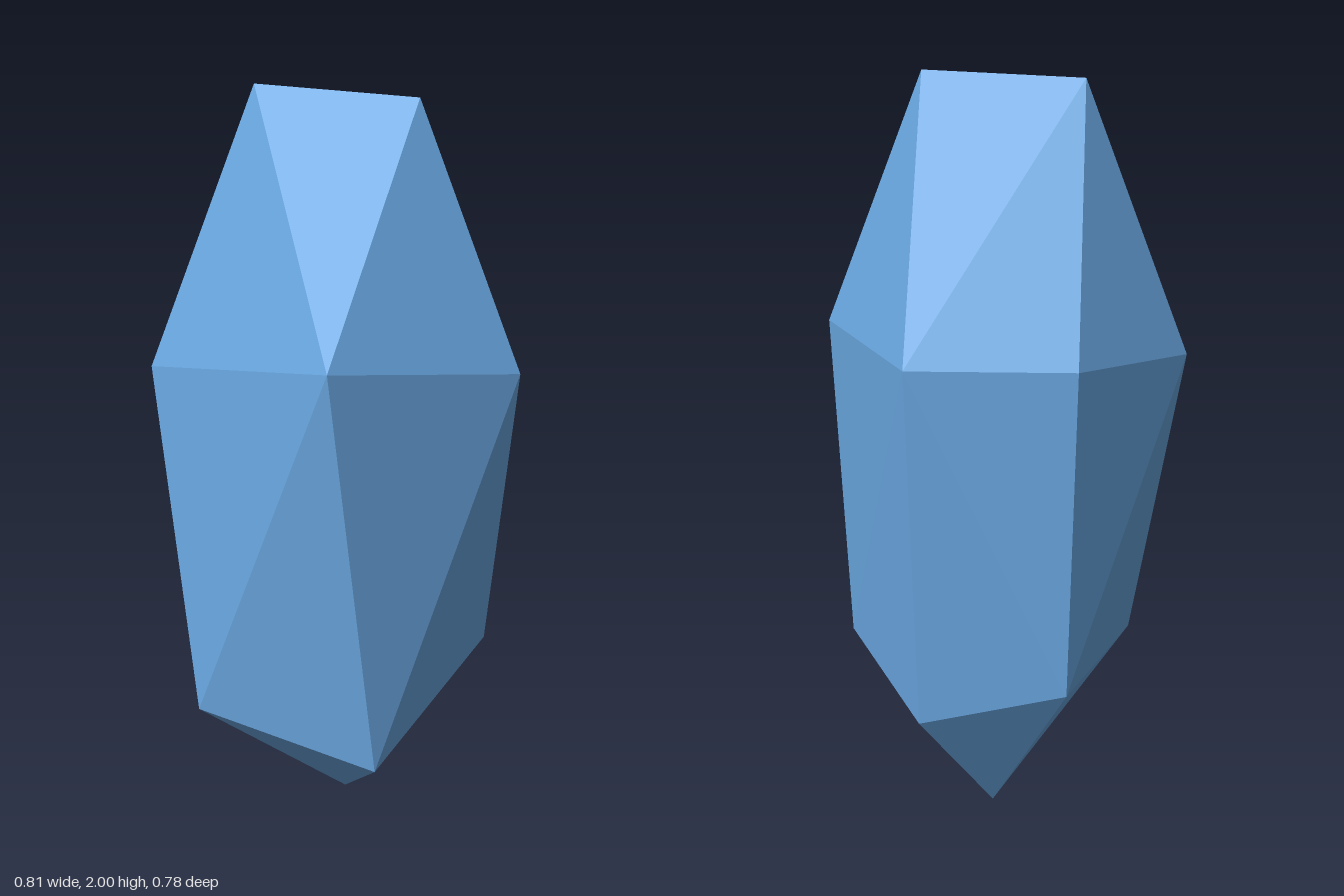
import * as THREE from 'three';

// Corners of the crystal, each ring running counterclockwise seen from above
const upper = [[-0.34, 1.51, 0.33], [0.23, 1.36, 0.39], [0.405, 1.39, -0.11], [0.123, 1.39, -0.393], [-0.33, 1.315, -0.33]];
const lower = [[-0.18, 0.35, 0.33], [0.28, 0.53, 0.275], [0.33, 0.4, -0.05], [0.104, 0.52, -0.355], [-0.408, 0.43, -0.1]];
const ridgeFront = [0.105, 2, 0.155];
const ridgeBack = [-0.087, 2, -0.197];
const foot = [0.025, 0, 0];

function facetMesh(name, triangles, material) {
  const geometry = new THREE.BufferGeometry();
  geometry.setAttribute('position', new THREE.Float32BufferAttribute(triangles.flat(2), 3));
  geometry.computeVertexNormals();
  const mesh = new THREE.Mesh(geometry, material);
  mesh.name = name;
  return mesh;
}

export function createModel() {
  const crystalBlue = new THREE.MeshStandardMaterial({ color: 0x6aa8e2 });
  crystalBlue.name = 'crystalBlue';

  const [A, B, C, D, E] = upper;
  const [a, b, c, d, e] = lower;

  // Cap: facets rising to the short ridge
  const cap = [
    [A, B, ridgeFront], [B, C, ridgeFront], [C, ridgeBack, ridgeFront],
    [C, D, ridgeBack], [D, E, ridgeBack], [E, A, ridgeBack], [A, ridgeFront, ridgeBack],
  ];

  // Shaft: long facets between the two rings
  const shaft = [
    [A, a, B], [B, a, b], [B, b, C], [C, b, c], [C, c, d],
    [C, d, D], [D, d, E], [E, d, e], [E, e, A], [A, e, a],
  ];

  // Base: facets narrowing to the foot
  const base = lower.map((p, i) => [p, foot, lower[(i + 1) % lower.length]]);

  const group = new THREE.Group();
  group.name = 'crystal';
  group.add(
    facetMesh('crystalCap', cap, crystalBlue),
    facetMesh('crystalShaft', shaft, crystalBlue),
    facetMesh('crystalBase', base, crystalBlue),
  );
  return group;
}
